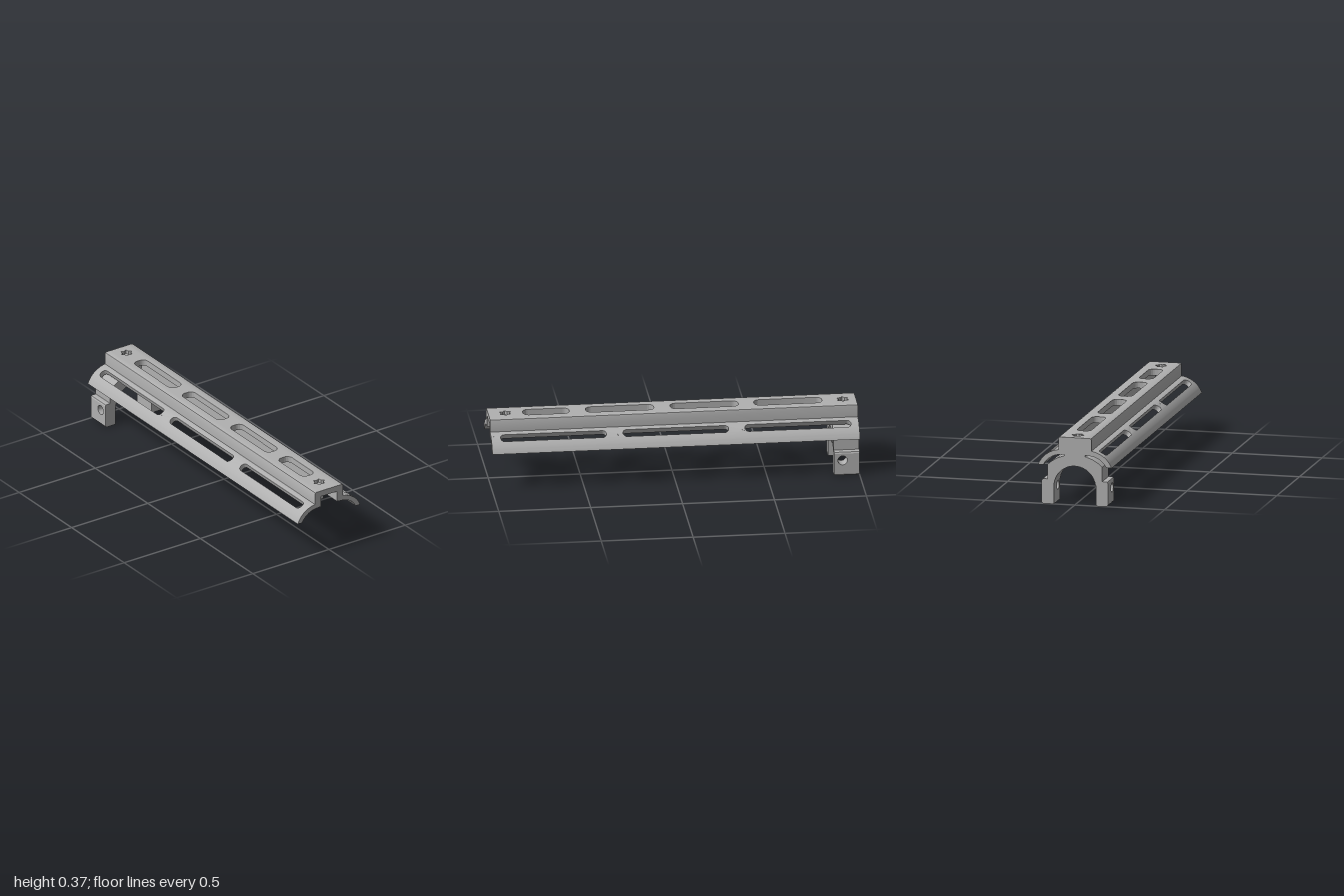
import * as THREE from 'three';
import { toCreasedNormals } from 'three/addons/utils/BufferGeometryUtils.js';

const CX = 0.077, CY = 0.165, R_OUT = 0.137, R_IN = 0.11; // wing arc
const SLOT_HALF = 0.021;                                  // half width of wing slots
const T0 = 0.335, T1 = 0.685;                             // slot angles from vertical
const END = 0.049;                                        // height of wing edge above arc centre

export function createModel() {
  const model = new THREE.Group();
  const grey = new THREE.MeshStandardMaterial({ color: 0xb0b0b0 });
  grey.name = 'grey';

  const add = (geo, name) => {
    const g = geo.index ? geo.toNonIndexed() : geo;
    const mesh = new THREE.Mesh(toCreasedNormals(g, 0.5), grey);
    mesh.name = name;
    model.add(mesh);
  };
  // Adds a part on the left and its mirrored twin on the right
  const addPair = (geo, name) => {
    const twin = geo.clone().scale(-1, 1, 1);
    const p = twin.attributes.position;
    const a = new THREE.Vector3(), b = new THREE.Vector3();
    for (let i = 0; i < p.count; i += 3) {
      a.fromBufferAttribute(p, i + 1);
      b.fromBufferAttribute(p, i + 2);
      p.setXYZ(i + 1, b.x, b.y, b.z);
      p.setXYZ(i + 2, a.x, a.y, a.z);
    }
    add(geo, name + 'Left');
    add(twin, name + 'Right');
  };
  const extrude = (shape, depth, steps = 1) =>
    new THREE.ExtrudeGeometry(shape, { depth, steps, bevelEnabled: false, curveSegments: 12 });
  const polygon = (pts) => new THREE.Shape(pts.map(([x, y]) => new THREE.Vector2(x, y)));
  const arc = (r, from, to, n = 8) => Array.from({ length: n + 1 }, (_, i) => {
    const t = from + (to - from) * i / n;
    return [CX + r * Math.sin(t), CY + r * Math.cos(t)];
  });

  // Channel side walls flowing into the upper wings
  const wall = [[0.053, 0.372], [0.053, 0.277], ...arc(R_IN, 0, T0),
    ...arc(R_OUT, T0, Math.asin(0.015 / R_OUT)), [0.092, 0.363],
    [0.0895, 0.3695], [0.083, 0.372]];
  addPair(extrude(polygon(wall), 2).translate(0, 0, -1), 'channelWall');

  // Lower strips of the wings, cut level along the bottom
  const lip = [...arc(R_IN, T0 + (T1 - T0), Math.acos(END / R_IN)),
    ...arc(R_OUT, Math.acos(END / R_OUT), T1)];
  addPair(extrude(polygon(lip), 2).translate(0, 0, -1), 'wingLip');

  // Bridges between the wing slots, bent around the wing arc
  const bridge = (zMin, zMax) => {
    const lo = -zMax, hi = -zMin, h = SLOT_HALF, s = new THREE.Shape();
    if (lo > -0.999) {
      s.moveTo(-h, lo - h);
      s.absarc(0, lo - h, h, Math.PI, 0, true);
    } else {
      s.moveTo(-h, lo);
      s.lineTo(0, lo);
      s.lineTo(h, lo);
    }
    if (hi < 0.999) {
      s.lineTo(h, hi + h);
      s.absarc(0, hi + h, h, 0, Math.PI, true);
    } else {
      s.lineTo(h, hi);
      s.lineTo(0, hi);
      s.lineTo(-h, hi);
    }
    const g = extrude(s, R_OUT - R_IN), p = g.attributes.position;
    for (let i = 0; i < p.count; i++) {
      const t = (T0 + T1) / 2 + p.getX(i) / h * (T1 - T0) / 2;
      const r = R_IN + p.getZ(i);
      p.setXYZ(i, CX + r * Math.sin(t), CY + r * Math.cos(t), -p.getY(i));
    }
    return g;
  };
  [[-1, -0.957], [-0.38, -0.292], [0.283, 0.373], [0.949, 1]]
    .forEach(([a, b], i) => addPair(bridge(a, b), 'wingBridge' + (i + 1)));

  // Top plate in two layers: the upper one also has the star recesses
  const slotHole = (z0, z1) => {
    const w = 0.04, r = 0.032, a = -z1, b = -z0, p = new THREE.Path();
    p.moveTo(w, a + r);
    p.lineTo(w, b - r);
    p.absarc(w - r, b - r, r, 0, Math.PI / 2);
    p.absarc(-w + r, b - r, r, Math.PI / 2, Math.PI);
    p.absarc(-w + r, a + r, r, Math.PI, Math.PI * 1.5);
    p.absarc(w - r, a + r, r, Math.PI * 1.5, Math.PI * 2);
    return p;
  };
  const starHole = (z) => new THREE.Path(Array.from({ length: 12 }, (_, i) => {
    const r = i % 2 ? 0.023 : 0.034, t = i * Math.PI / 6;
    return new THREE.Vector2(r * Math.cos(t), -z + r * Math.sin(t));
  }));
  const screwZ = [-0.928, 0.907];
  const plate = (y0, y1, stars) => {
    const s = polygon([[-0.053, -1], [0.053, -1], [0.053, 1], [-0.053, 1]]);
    [[-0.815, -0.445], [-0.36, 0.01], [0.1, 0.47], [0.56, 0.812]]
      .forEach(([a, b]) => s.holes.push(slotHole(a, b)));
    if (stars) screwZ.forEach((z) => s.holes.push(starHole(z)));
    return extrude(s, y1 - y0).rotateX(-Math.PI / 2).translate(0, y0, 0);
  };
  add(plate(0.352, 0.372, true), 'topPlate');
  add(plate(0.338, 0.352, false), 'topPlateUnderside');

  // Screw posts hanging below the star recesses
  screwZ.forEach((z, i) => add(new THREE.CylinderGeometry(0.024, 0.024, 0.065, 20)
    .translate(0, 0.3095, z), i ? 'frontScrewPost' : 'rearScrewPost'));

  // Rear clamp: arch with a neck that fills the channel
  const half = [[0.118, 0.115], [0.118, 0.137], [0.153, 0.137], [0.153, 0.217],
    [0.13, 0.236], [0.097, 0.256], [0.058, 0.27], [0.058, 0.277], [0.053, 0.277], [0.053, 0.338]];
  const inner = [];
  for (let i = 0; i <= 20; i++) {
    const t = Math.PI - 0.13 - (Math.PI - 0.26) * i / 20;
    inner.push([0.1165 * Math.cos(t), 0.0985 + 0.1165 * Math.sin(t)]);
  }
  const arch = [...half, ...half.map(([x, y]) => [-x, y]).reverse(), ...inner];
  add(extrude(polygon(arch), 0.138).translate(0, 0, -1), 'clampArch');

  // Clamp legs with cross holes and rounded outer corners
  const leg = polygon([[0.862, 0], [1, 0], [1, 0.137], [0.862, 0.137]]);
  const bolt = new THREE.Path();
  bolt.absarc(0.907, 0.088, 0.026, 0, Math.PI * 2);
  leg.holes.push(bolt);
  const LEG_DEPTH = 0.068, ROUND = 0.01275;
  const legGeo = extrude(leg, LEG_DEPTH, 16);
  const lp = legGeo.attributes.position;
  for (let i = 0; i < lp.count; i++) {
    const d = Math.max(0, lp.getZ(i) - (LEG_DEPTH - ROUND));
    const inset = ROUND - Math.sqrt(Math.max(0, ROUND * ROUND - d * d));
    lp.setY(i, THREE.MathUtils.clamp(lp.getY(i), inset * 0.8, 0.137 - inset * 0.8));
  }
  addPair(legGeo.rotateY(Math.PI / 2).translate(0.117, 0, 0), 'clampLeg');

  return model;
}
